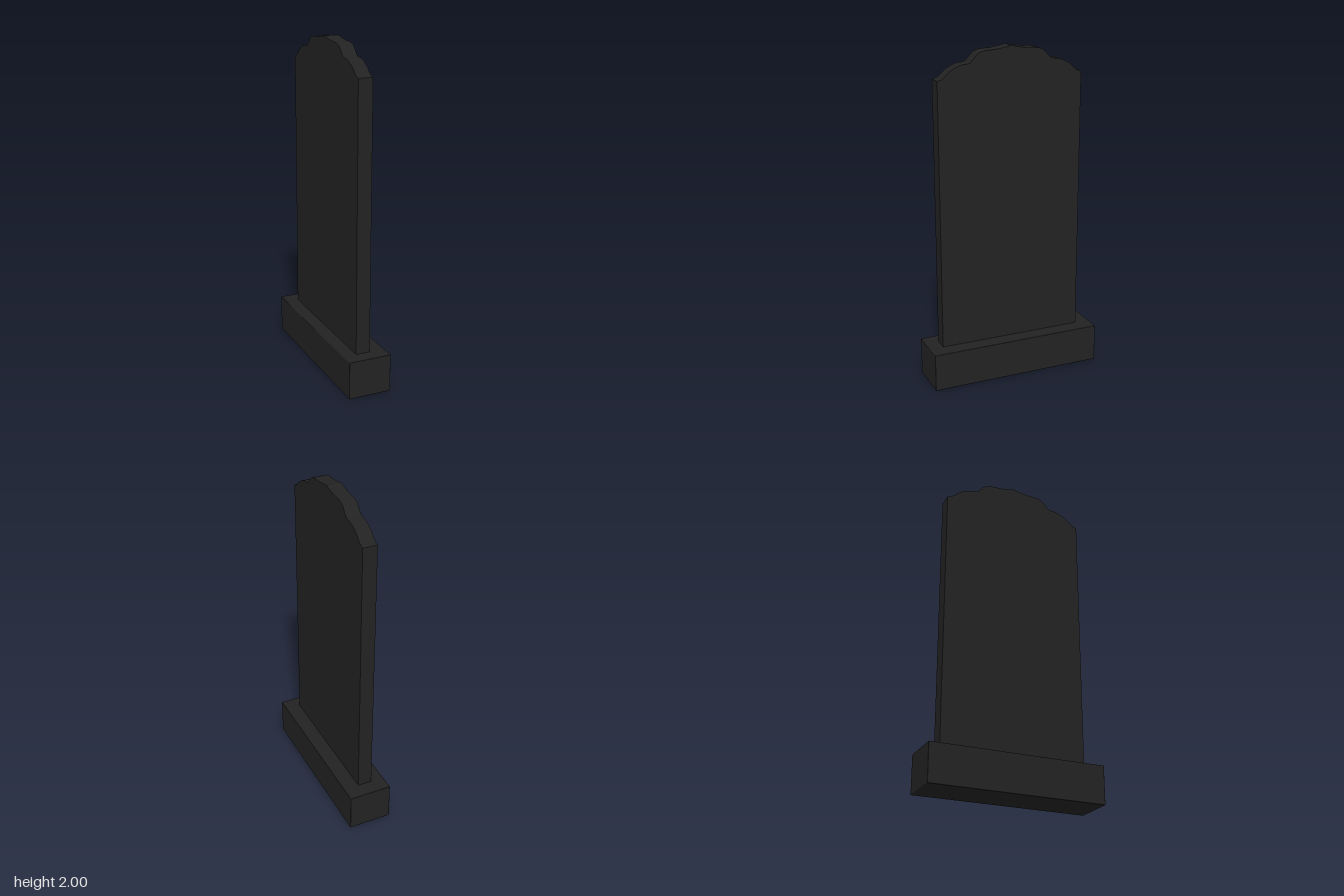
import * as THREE from 'three';
import { toCreasedNormals } from 'three/addons/utils/BufferGeometryUtils.js';
import { RoundedBoxGeometry } from 'three/addons/geometries/RoundedBoxGeometry.js';

const stone = new THREE.MeshStandardMaterial({ color: 0x222222 });
stone.name = 'black granite';

// Half of the scalloped crest, from the outer shoulder to the peak: [distance from middle, height]
const crest = [
  [0.443, 1.828], [0.41, 1.84], [0.366, 1.878], [0.308, 1.906], [0.254, 1.915],
  [0.234, 1.93], [0.202, 1.964], [0.16, 1.979], [0.095, 1.983], [0.042, 1.991], [0, 2],
];

function createSlab() {
  const half = new THREE.SplineCurve(crest.map(([d, y]) => new THREE.Vector2(d, y))).getPoints(40);
  const mirrored = half.slice(0, -1).reverse().map((p) => new THREE.Vector2(-p.x, p.y));
  const outline = [
    new THREE.Vector2(-0.443, 0.2),
    new THREE.Vector2(0.443, 0.2),
    ...half,
    ...mirrored,
  ];
  const geometry = new THREE.ExtrudeGeometry(new THREE.Shape(outline), {
    depth: 0.087, bevelEnabled: false,
  });
  // Turn the outline so that its width runs along z
  geometry.rotateY(-Math.PI / 2);
  geometry.translate(0.037, 0, 0.004);
  return new THREE.Mesh(toCreasedNormals(geometry, 0.5), stone);
}

export function createModel() {
  const model = new THREE.Group();
  model.name = 'headstone';

  // Plinth with slightly eased edges
  const plinth = new THREE.Mesh(new RoundedBoxGeometry(0.262, 0.23, 1.062, 2, 0.004), stone);
  plinth.name = 'plinth';
  plinth.position.y = 0.115;
  model.add(plinth);

  // Upright slab with the scalloped crest
  const slab = createSlab();
  slab.name = 'slab';
  model.add(slab);

  return model;
}
